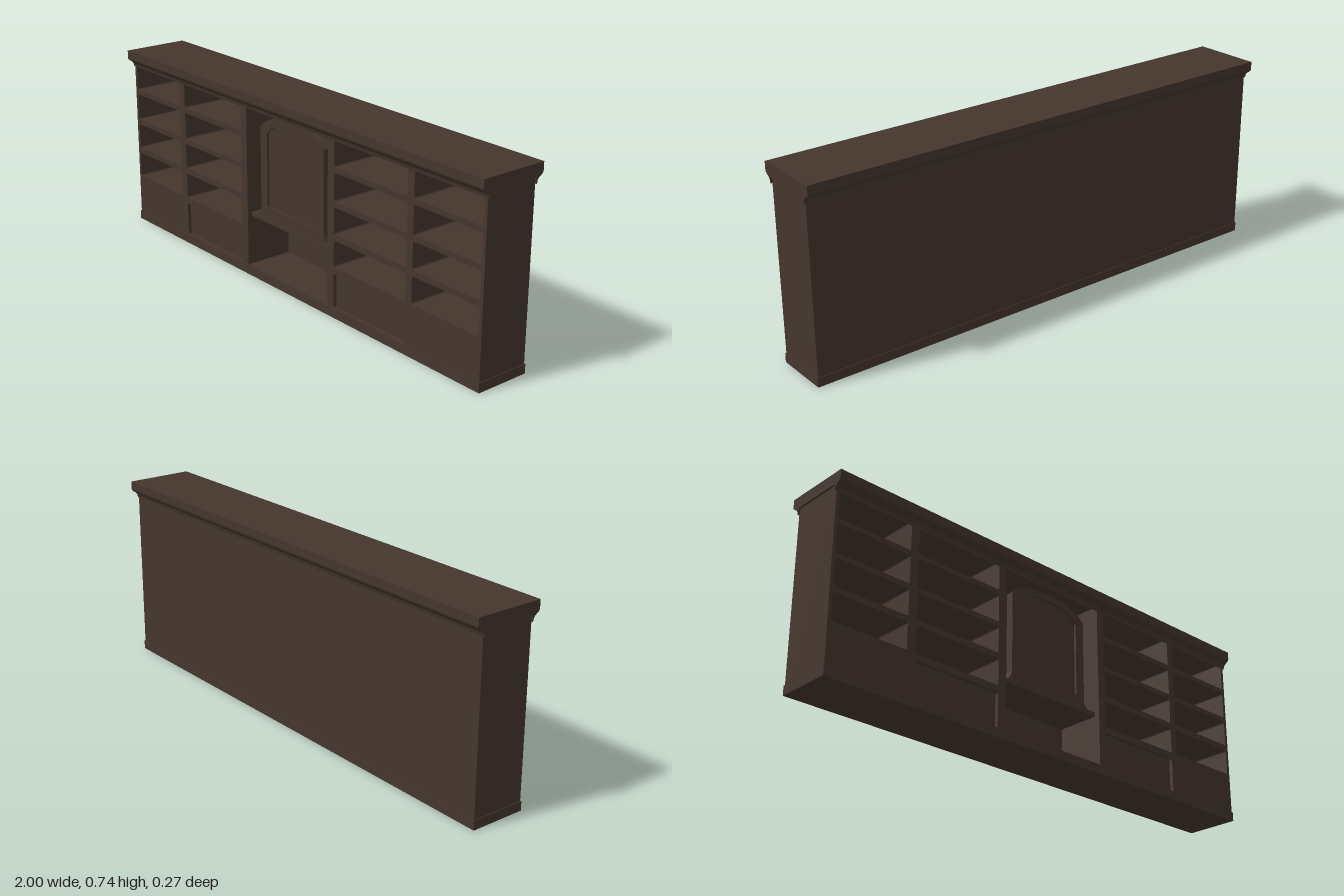
import * as THREE from 'three';

export function createModel() {
  const model = new THREE.Group();
  const wood = new THREE.MeshStandardMaterial({ color: 0x45362d });
  wood.name = 'dark wood';

  const add = (name, geometry, x = 0, y = 0, z = 0) => {
    const mesh = new THREE.Mesh(geometry, wood);
    mesh.name = name;
    mesh.position.set(x, y, z);
    model.add(mesh);
    return mesh;
  };
  const box = (name, x0, x1, y0, y1, z0, z1) =>
    add(name, new THREE.BoxGeometry(x1 - x0, y1 - y0, z1 - z0),
      (x0 + x1) / 2, (y0 + y1) / 2, (z0 + z1) / 2);
  const extrude = (shape, depth) =>
    new THREE.ExtrudeGeometry(shape, { depth, bevelEnabled: false, curveSegments: 8 });

  // Outline of an opening with small rounded corners
  const opening = (x0, x1, y0, y1, r = 0.008) => {
    const p = new THREE.Path();
    p.moveTo(x0 + r, y0);
    p.lineTo(x1 - r, y0);
    p.quadraticCurveTo(x1, y0, x1, y0 + r);
    p.lineTo(x1, y1 - r);
    p.quadraticCurveTo(x1, y1, x1 - r, y1);
    p.lineTo(x0 + r, y1);
    p.quadraticCurveTo(x0, y1, x0, y1 - r);
    p.lineTo(x0, y0 + r);
    p.quadraticCurveTo(x0, y0, x0 + r, y0);
    return p;
  };

  // Carcass: shelf compartments cut through one block, closed by a back board
  const carcass = new THREE.Shape();
  carcass.moveTo(-0.993, 0);
  carcass.lineTo(0.993, 0);
  carcass.lineTo(0.993, 0.7);
  carcass.lineTo(-0.993, 0.7);
  carcass.closePath();
  const columns = [[-0.98, -0.675], [-0.64, -0.27], [0.27, 0.64], [0.67, 0.98]];
  const rows = [[0.195, 0.297], [0.32, 0.422], [0.442, 0.55], [0.57, 0.687]];
  for (const [x0, x1] of columns)
    for (const [y0, y1] of rows) carcass.holes.push(opening(x0, x1, y0, y1));
  for (const [x0, x1] of columns.slice(1, 3)) {
    carcass.holes.push(opening(x0, x1, 0.037, 0.17));
    box('lowerPanel', x0 - 0.004, x1 + 0.004, 0.032, 0.175, -0.09, 0.091);
  }
  carcass.holes.push(opening(-0.235, 0.235, 0.037, 0.687, 0.003));
  add('carcass', extrude(carcass, 0.195), 0, 0, -0.09);
  box('backBoard', -0.993, 0.993, 0, 0.7, -0.105, -0.09);
  box('plinth', -0.996, 0.996, 0, 0.035, -0.108, 0.108);

  // Cornice: coved moulding along the front and back
  const half = [[0.105, 0.665], [0.108, 0.677], [0.114, 0.686], [0.124, 0.692],
    [0.132, 0.699], [0.1335, 0.705], [0.1335, 0.735]];
  const profile = [...half, ...half.map(([z, y]) => [-z, y]).reverse()];
  // The cove sits outside the carcass; its core starts above the openings
  const cornice = new THREE.Shape([
    ...profile.map(([z, y]) => new THREE.Vector2(z, y)),
    new THREE.Vector2(-0.1, 0.69), new THREE.Vector2(0.1, 0.69),
  ]);
  const corniceGeometry = extrude(cornice, 2);
  corniceGeometry.rotateY(-Math.PI / 2);
  // After turning, the profile runs along z and the length along -x
  add('cornice', corniceGeometry, 1, 0, 0);

  // Centre shelf between the two tall posts
  box('centreShelf', -0.235, 0.235, 0.233, 0.249, -0.09, 0.085);

  // Arched panel standing on the centre shelf
  const arch = (shape, w, y0, shoulder, top) => {
    shape.moveTo(-w, y0);
    shape.lineTo(w, y0);
    shape.lineTo(w, shoulder);
    shape.bezierCurveTo(w * 0.72, top - 0.005, w * 0.4, top, 0, top);
    shape.bezierCurveTo(-w * 0.4, top, -w * 0.72, top - 0.005, -w, shoulder);
    shape.lineTo(-w, y0);
    return shape;
  };
  const frame = arch(new THREE.Shape(), 0.182, 0.245, 0.605, 0.657);
  frame.holes.push(arch(new THREE.Path(), 0.143, 0.295, 0.585, 0.632));
  add('archFrame', extrude(frame, 0.03), 0, 0, 0.05);
  add('archPanel', extrude(arch(new THREE.Shape(), 0.15, 0.285, 0.59, 0.64), 0.018), 0, 0, 0.053);

  // Small curved feet flaring out at the base of the arch frame
  for (const side of [-1, 1]) {
    const foot = new THREE.Shape();
    foot.moveTo(side * 0.178, 0.245);
    foot.lineTo(side * 0.222, 0.245);
    foot.quadraticCurveTo(side * 0.186, 0.25, side * 0.182, 0.29);
    foot.lineTo(side * 0.178, 0.29);
    foot.closePath();
    add('archFoot', extrude(foot, 0.026), 0, 0, 0.052);
  }
  return model;
}
